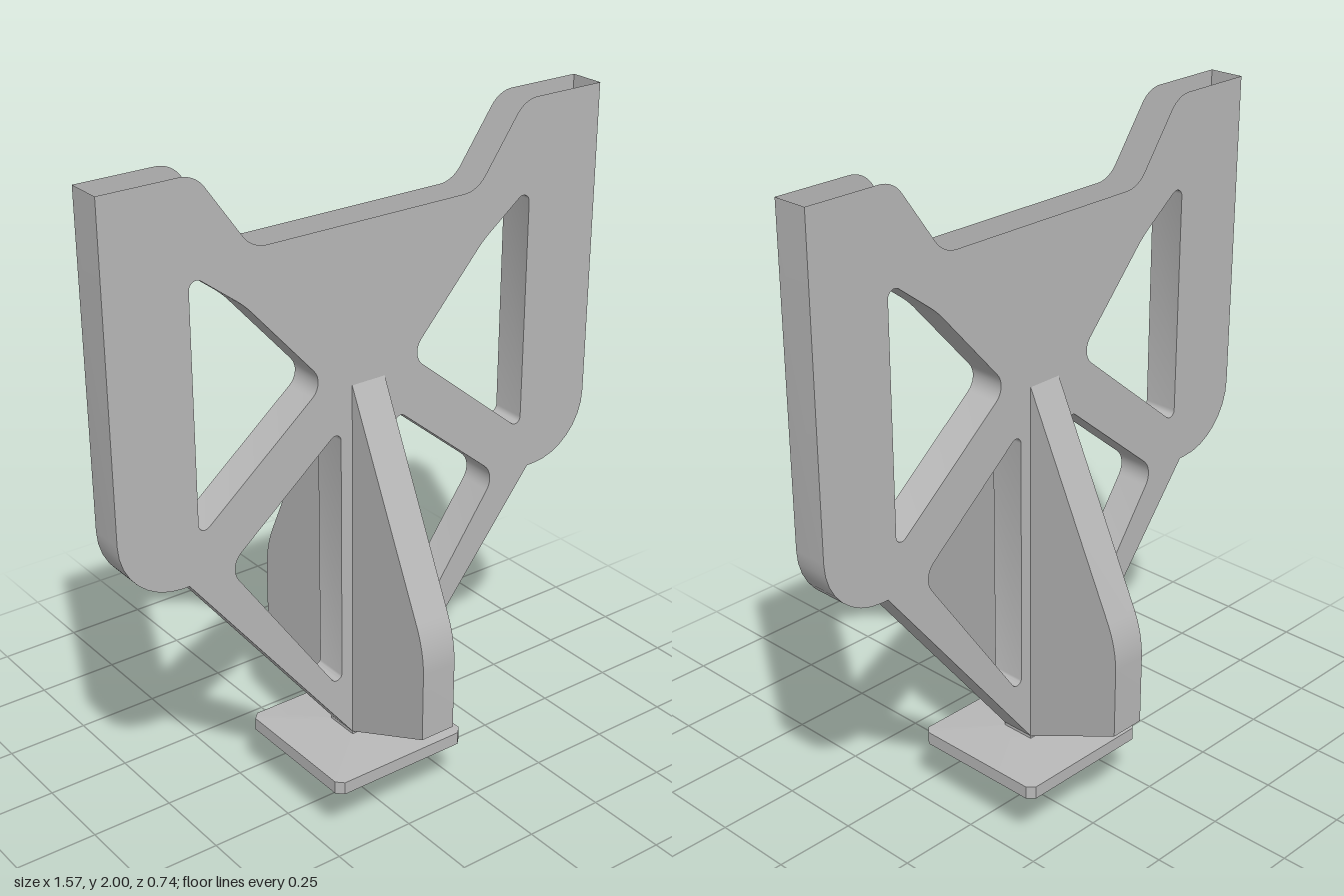
import * as THREE from 'three';
import { toCreasedNormals } from 'three/addons/utils/BufferGeometryUtils.js';

const HZ = 0.052; // half thickness of the main panel
const HX = 0.054; // half thickness of the fins

// Polygon of [x, y, t]: each corner is rounded by an arc starting t before it.
function rounded(corners) {
  const n = corners.length;
  const pts = [];
  corners.forEach(([x, y, t = 0], i) => {
    const p = new THREE.Vector2(x, y);
    if (!t) { pts.push(p); return; }
    const toward = (j) => new THREE.Vector2(corners[j][0], corners[j][1]).sub(p).normalize();
    const a = toward((i + n - 1) % n);
    const b = toward((i + 1) % n);
    const turn = Math.PI - Math.acos(a.dot(b));
    const k = t - (4 / 3) * Math.tan(turn / 4) * t / Math.tan(turn / 2);
    const at = (d, s) => p.clone().addScaledVector(d, s);
    pts.push(...new THREE.CubicBezierCurve(at(a, t), at(a, k), at(b, k), at(b, t)).getPoints(8));
  });
  return pts;
}

function fromPositions(array, crease) {
  const g = new THREE.BufferGeometry();
  g.setAttribute('position', new THREE.Float32BufferAttribute(array, 3));
  return toCreasedNormals(g, crease);
}

// Hollow slab: two faces, a wall along the open path, and a wall around each hole.
// The edge from the end of wallPath back to its start (via rim) stays open.
function shell(wallPath, rim, holes, h) {
  const shape = new THREE.Shape([...wallPath, ...rim]);
  shape.holes = holes.map((pts) => new THREE.Path(pts));
  const solid = new THREE.ExtrudeGeometry(shape, { depth: 2 * h, bevelEnabled: false });
  solid.translate(0, 0, -h);
  const pos = Array.from(solid.attributes.position.array.slice(0, solid.groups[0].count * 3));
  const wall = (pts) => {
    for (let i = 0; i + 1 < pts.length; i++) {
      const p = pts[i], q = pts[i + 1];
      pos.push(p.x, p.y, -h, q.x, q.y, -h, q.x, q.y, h);
      pos.push(p.x, p.y, -h, q.x, q.y, h, p.x, p.y, h);
    }
  };
  wall(wallPath);
  holes.forEach((hole) => {
    const pts = THREE.ShapeUtils.isClockWise(hole) ? hole : hole.slice().reverse();
    wall([...pts, pts[0]]);
  });
  return fromPositions(pos, 0.5);
}

// Loft through chamfered rectangles given as [halfX, halfZ, chamfer, y].
function loft(rings) {
  const loops = rings.map(([x, z, c, y]) => [
    [x, y, z - c], [x, y, c - z], [x - c, y, -z], [c - x, y, -z],
    [-x, y, c - z], [-x, y, z - c], [c - x, y, z], [x - c, y, z],
  ]);
  const pos = [];
  for (let r = 0; r + 1 < loops.length; r++) {
    for (let i = 0; i < 8; i++) {
      const j = (i + 1) % 8;
      const a = loops[r][i], b = loops[r][j], c = loops[r + 1][j], d = loops[r + 1][i];
      pos.push(...a, ...b, ...c, ...a, ...c, ...d);
    }
  }
  // closed flat tip
  for (let i = 1; i < 7; i++) pos.push(...loops[0][0], ...loops[0][i + 1], ...loops[0][i]);
  return fromPositions(pos, 0.1);
}

export function createModel() {
  const group = new THREE.Group();
  const grey = new THREE.MeshStandardMaterial({ color: 0xb8b8b8, side: THREE.DoubleSide });
  grey.name = 'plain grey';
  const add = (name, geometry) => {
    const mesh = new THREE.Mesh(geometry, grey);
    mesh.name = name;
    group.add(mesh);
    return mesh;
  };
  const mirror = (list) => list.map(([x, y, t]) => [-x, y, t]);

  // Main panel: walled sides and bottom, open along the notched top and at the neck
  const rightSide = [[HX, 0.235], [0.58, 0.903], [0.785, 0.903, 0.185], [0.785, 2]];
  const leftSide = mirror(rightSide).reverse();
  const notch = [[0.516, 2, 0.045], [0.359, 1.78, 0.045]];
  const outline = rounded([...leftSide, ...rightSide, ...notch, ...mirror(notch).reverse()]);
  const end = outline.findIndex((p) => p.x > 0.78 && p.y === 2) + 1;

  // Triangular windows, mirrored left and right
  const upperWindow = [[0.545, 1.757, 0.045], [0.385, 1.635, 0.03], [0.141, 1.363, 0.055], [0.545, 1.03, 0.04]];
  const lowerWindow = [[0.091, 1.219, 0.04], [0.459, 0.914, 0.055], [0.091, 0.388, 0.06]];
  const holes = [upperWindow, lowerWindow].flatMap((w) => [rounded(w), rounded(mirror(w))]);
  const panel = shell(outline.slice(0, end), outline.slice(end), holes, HZ);
  // Drop the wall across the neck so the interior runs down into the tip
  const p = panel.attributes.position, n = panel.attributes.normal;
  const kept = [];
  for (let i = 0; i < p.count; i += 3) {
    const neck = [0, 1, 2].every((k) => p.getY(i + k) < 0.24) && Math.abs(n.getZ(i)) < 0.5;
    if (!neck) for (let k = 0; k < 3; k++) kept.push(p.getX(i + k), p.getY(i + k), p.getZ(i + k));
  }
  add('mainPanel', fromPositions(kept, 0.5));

  // Front and back fins
  const finPath = rounded([[HZ, 0.235], [0.37, 0.38], [0.37, 0.66, 0.075], [HZ, 1.33]]);
  const fin = shell(finPath, [], [], HX);
  add('frontFin', fin).rotation.y = -Math.PI / 2;
  add('backFin', fin).rotation.y = Math.PI / 2;

  // Square flange with shallow roof, over a pyramid tip
  add('flangeAndTip', loft([
    [0.02, 0.018, 0, 0],
    [0.163, 0.16, 0, 0.175],
    [0.224, 0.217, 0.02, 0.175],
    [0.224, 0.217, 0.02, 0.214],
    [HX, HZ, 0, 0.226],
    [HX, HZ, 0, 0.237],
  ]));

  return group;
}
